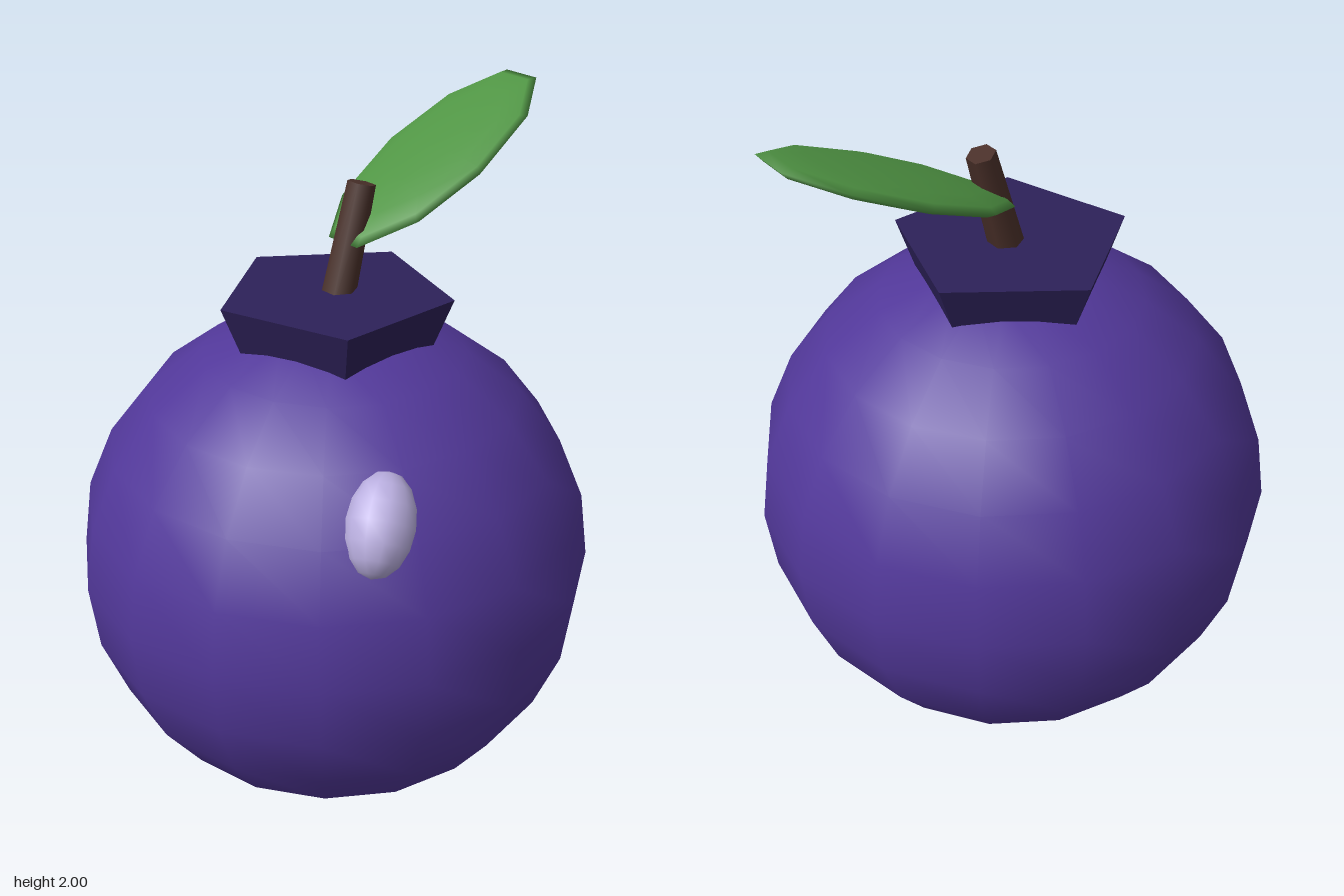
import * as THREE from 'three';

const paint = (name, color, flatShading = false) => {
  const m = new THREE.MeshStandardMaterial({ color, flatShading });
  m.name = name;
  return m;
};

export function createModel() {
  const group = new THREE.Group();
  const add = (name, geometry, material) => {
    const mesh = new THREE.Mesh(geometry, material);
    mesh.name = name;
    group.add(mesh);
    return mesh;
  };

  // Round fruit body
  const radius = 0.732;
  const centre = new THREE.Vector3(0, radius + 0.003, 0);
  add('fruitBody', new THREE.SphereGeometry(radius, 16, 12), paint('berry purple', 0x52389a))
    .position.copy(centre);

  // Five-sided crown, one corner pointing backwards
  const crown = add('crown', new THREE.CylinderGeometry(0.328, 0.25, 0.2, 5),
    paint('dark purple', 0x2d2159, true));
  crown.position.y = 1.44;
  crown.rotation.y = Math.PI;

  // Leaning stem
  const stem = add('stem', new THREE.CylinderGeometry(0.04, 0.05, 0.36, 6), paint('bark brown', 0x4a3029));
  stem.position.set(0.05, 1.648, 0);
  stem.rotation.z = -0.27;

  // Thin oval leaf rising to the left
  const leafShape = new THREE.SphereGeometry(1, 10, 8).rotateY(Math.PI / 2).scale(0.397, 0.036, 0.18);
  const leaf = add('leaf', leafShape, paint('leaf green', 0x509544));
  leaf.position.set(0.37, 1.835, 0);
  leaf.rotation.z = 0.452;

  // Pale oval shine bulging out of the upper front
  const out = new THREE.Vector3(-0.41, 0.57, 0.7).normalize();
  const long = new THREE.Vector3(0.52, 0.79, -0.32);
  long.addScaledVector(out, -long.dot(out)).normalize();
  const across = new THREE.Vector3().crossVectors(long, out);
  const shine = add('shine', new THREE.SphereGeometry(1, 12, 8).scale(0.095, 0.14, 0.1),
    paint('pale lavender', 0xb9aedf));
  shine.quaternion.setFromRotationMatrix(new THREE.Matrix4().makeBasis(across, long, out));
  shine.position.copy(centre).addScaledVector(out, 0.7);

  return group;
}
